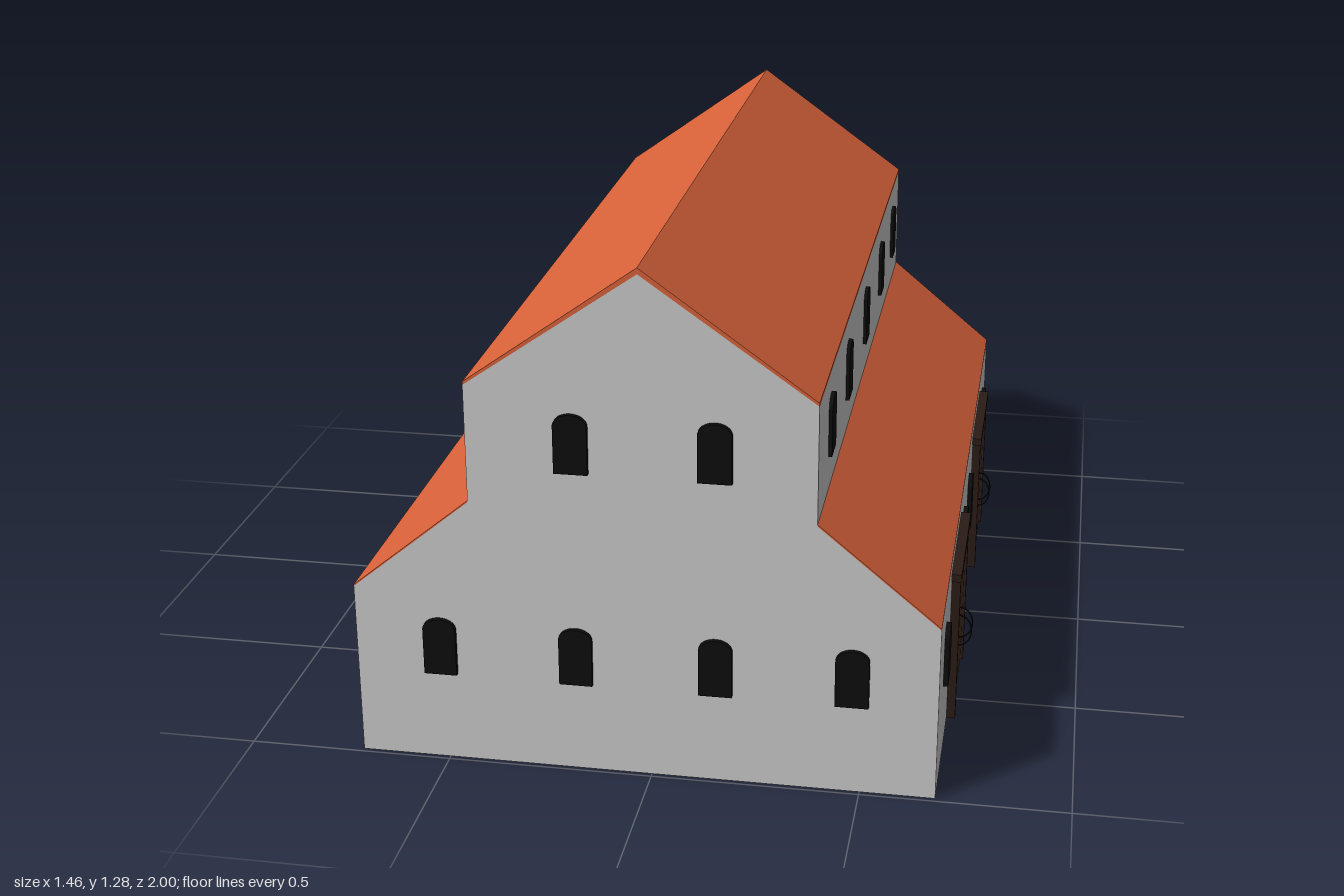
import * as THREE from 'three';

const mat = (color, side = THREE.FrontSide) => new THREE.MeshStandardMaterial({ color, side });

export function createModel() {
  const model = new THREE.Group();
  const wall = mat(0xcccccc), tile = mat(0xd8623a), dark = mat(0x0d0d0d);
  const wood = mat(0x442f1e), frame = mat(0x2a1c17);
  const CX = -0.02, OUT = 0.7, IN = 0.41, Z = 0.988; // centre line, aisle and nave half widths, half length

  const add = (parent, name, geometry, material, x = 0, y = 0, z = 0) => {
    const mesh = new THREE.Mesh(geometry, material);
    mesh.name = name;
    mesh.position.set(x, y, z);
    parent.add(mesh);
    return mesh;
  };
  // Cross-section extruded along the whole length
  const prism = (name, points, material) => add(model, name,
    new THREE.ExtrudeGeometry(new THREE.Shape(points.map(p => new THREE.Vector2(...p))),
      { depth: 2 * Z, bevelEnabled: false }), material, CX, 0, -Z);

  // Walls: nave with a lean-to aisle on each side
  prism('walls', [[-OUT, 0], [OUT, 0], [OUT, 0.443], [IN, 0.683], [IN, 0.975], [0, 1.262],
    [-IN, 0.975], [-IN, 0.683], [-OUT, 0.443]], wall);

  // Roofs
  prism('naveRoof', [[IN, 0.975], [IN, 0.983], [0, 1.277], [-IN, 0.983], [-IN, 0.975], [0, 1.262]], tile);
  prism('aisleRoofLeft', [[OUT, 0.443], [OUT, 0.447], [IN, 0.687], [IN, 0.683]], tile);
  prism('aisleRoofRight', [[-OUT, 0.443], [-IN, 0.683], [-IN, 0.687], [-OUT, 0.447]], tile);

  // Arched windows, standing slightly proud of the wall
  const W = 0.04, H = 0.146, RISE = 0.028, DEPTH = 0.024;
  const arch = new THREE.Shape();
  arch.moveTo(-W, 0);
  arch.lineTo(W, 0);
  arch.lineTo(W, H - RISE);
  arch.absellipse(0, H - RISE, W, RISE, 0, Math.PI, false, 0);
  const windowGeo = new THREE.ExtrudeGeometry(arch, { depth: DEPTH, bevelEnabled: false, curveSegments: 12 });
  windowGeo.translate(0, 0, -DEPTH / 2);
  const windows = (name, places, turn) => places.forEach(([x, y, z]) => {
    add(model, name, windowGeo, dark, x, y, z).rotation.y = turn;
  });
  const bays = [0.757, 0.393, -0.023, -0.433, -0.79];
  windows('frontWindow', [-0.512, -0.18, 0.155, 0.478].map(x => [x, 0.23, Z]), 0);
  windows('frontUpperWindow', [-0.18, 0.155].map(x => [x, 0.775, Z]), 0);
  windows('backWindow', [-0.29, -0.01, 0.255].map(x => [x, 0.23, -Z]), Math.PI);
  windows('backUpperWindow', [-0.18, 0.155].map(x => [x, 0.775, -Z]), Math.PI);
  windows('leftWindow', [0.795, 0.112, -0.115, -0.78].map(z => [CX + OUT, 0.216, z]), Math.PI / 2);
  windows('rightWindow', bays.map(z => [CX - OUT, 0.203, z]), -Math.PI / 2);
  // The clerestory windows project a little less
  windows('leftUpperWindow', bays.map(z => [CX + IN - 0.003, 0.775, z]), Math.PI / 2);
  windows('rightUpperWindow', bays.map(z => [CX - IN + 0.006, 0.775, z]), -Math.PI / 2);

  // Double doors with frame and curved pull handles
  const handleCurve = new THREE.CatmullRomCurve3(Array.from({ length: 9 }, (_, i) => {
    const a = -Math.PI / 2 + Math.PI * i / 8;
    return new THREE.Vector3(0.034 * Math.cos(a), 0.043 * Math.sin(a), 0);
  }));
  const handleGeo = new THREE.TubeGeometry(handleCurve, 20, 0.002, 6);
  for (const z of [0.444, -0.437]) {
    const door = new THREE.Group();
    door.name = 'door';
    door.position.set(CX + OUT, 0, z);
    model.add(door);
    for (const s of [-1, 1]) {
      add(door, 'doorLeaf', new THREE.BoxGeometry(0.03, 0.39, 0.155), wood, 0, 0.2, s * 0.0775);
      add(door, 'doorJamb', new THREE.BoxGeometry(0.044, 0.395, 0.02), frame, 0, 0.203, s * 0.158);
      add(door, 'doorHandle', handleGeo, dark, 0.014, 0.179, s * 0.022);
    }
    add(door, 'doorLintel', new THREE.BoxGeometry(0.05, 0.02, 0.374), frame, 0, 0.404, 0);
  }
  return model;
}
